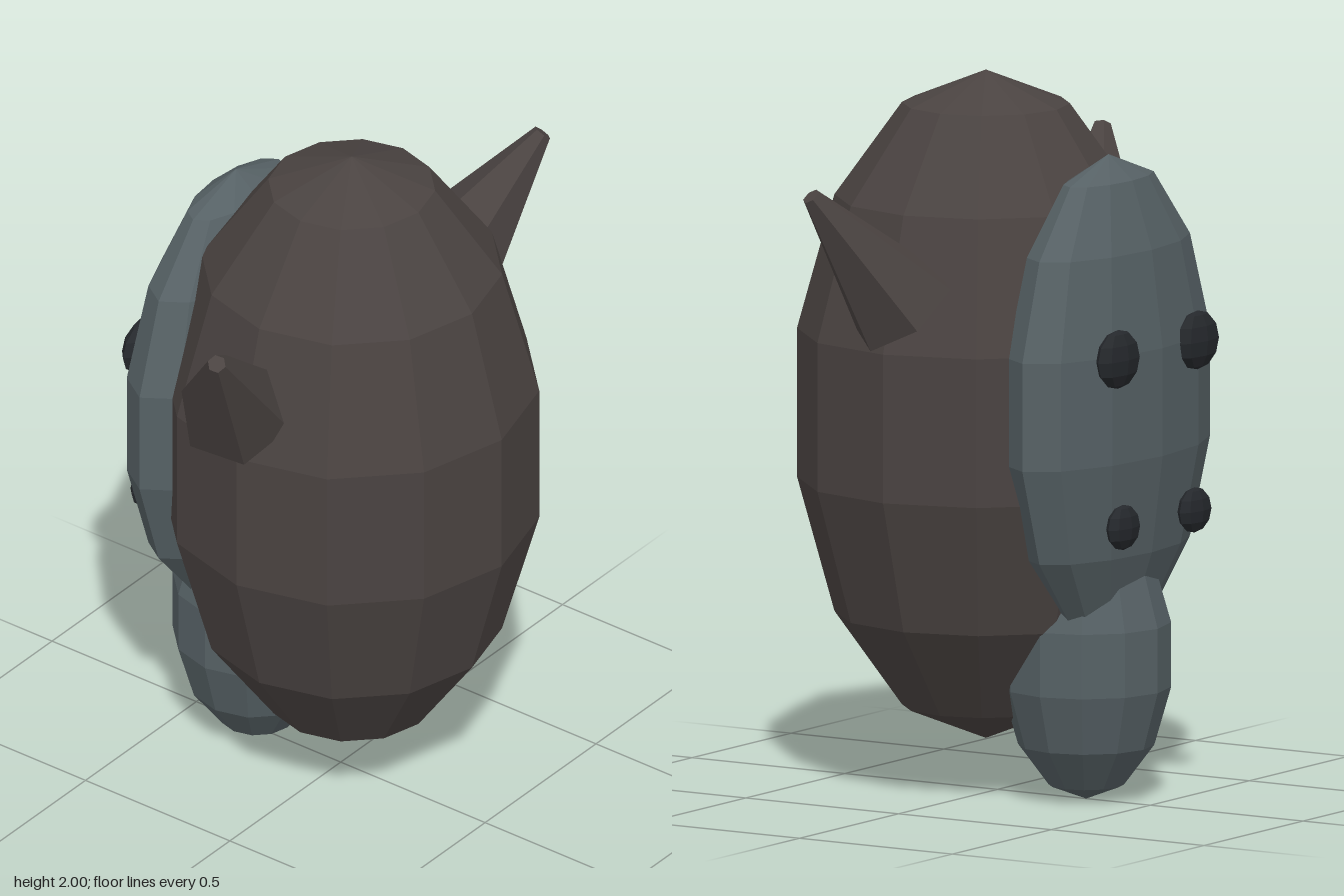
import * as THREE from 'three';

const paint = (color) => new THREE.MeshStandardMaterial({ color, flatShading: true });

export function createModel() {
  const model = new THREE.Group();
  const skin = paint(0x4a4341);
  const shellPaint = paint(0x566165);
  const spotPaint = paint(0x25282c);

  // Faceted ellipsoid with centre and half-sizes
  function blob(name, center, radii, material, sides = 12, rings = 7) {
    const geometry = new THREE.SphereGeometry(1, sides, rings);
    geometry.scale(...radii);
    const mesh = new THREE.Mesh(geometry, material);
    mesh.name = name;
    mesh.position.set(...center);
    model.add(mesh);
  }

  // Six-sided blunt cone; corner points towards one vertex of its base
  function ear(name, base, tip, corner) {
    const from = new THREE.Vector3(...base);
    const axis = new THREE.Vector3(...tip).sub(from);
    const length = axis.length();
    axis.normalize();
    const z = new THREE.Vector3(...corner).projectOnPlane(axis).normalize();
    const x = new THREE.Vector3().crossVectors(axis, z);
    const geometry = new THREE.CylinderGeometry(0.026, 0.16, length, 6);
    geometry.translate(0, length / 2, 0);
    const mesh = new THREE.Mesh(geometry, skin);
    mesh.name = name;
    mesh.quaternion.setFromRotationMatrix(new THREE.Matrix4().makeBasis(x, axis, z));
    mesh.position.copy(from);
    model.add(mesh);
  }

  blob('body', [0, 1.07, 0.038], [0.533, 0.93, 0.533], skin);
  blob('backShell', [0, 1.125, -0.363], [0.446, 0.675, 0.182], shellPaint);
  blob('tail', [0, 0.403, -0.29], [0.24, 0.403, 0.24], shellPaint);

  // Pointed ears, leaning outward and forward
  ear('leftEar', [0.475, 1.4, 0], [0.735, 1.738, 0.135], [0.114, -0.1, 0.03]);
  ear('rightEar', [-0.475, 1.4, 0], [-0.735, 1.738, 0.135], [-0.125, -0.075, -0.057]);

  // Two rows of spots on the shell
  for (const side of [-1, 1]) {
    blob('upperSpot', [side * 0.2, 1.27, -0.524], [0.1, 0.082, 0.036], spotPaint, 8, 6);
    blob('lowerSpot', [side * 0.18, 0.8, -0.528], [0.075, 0.063, 0.03], spotPaint, 8, 6);
  }

  return model;
}
